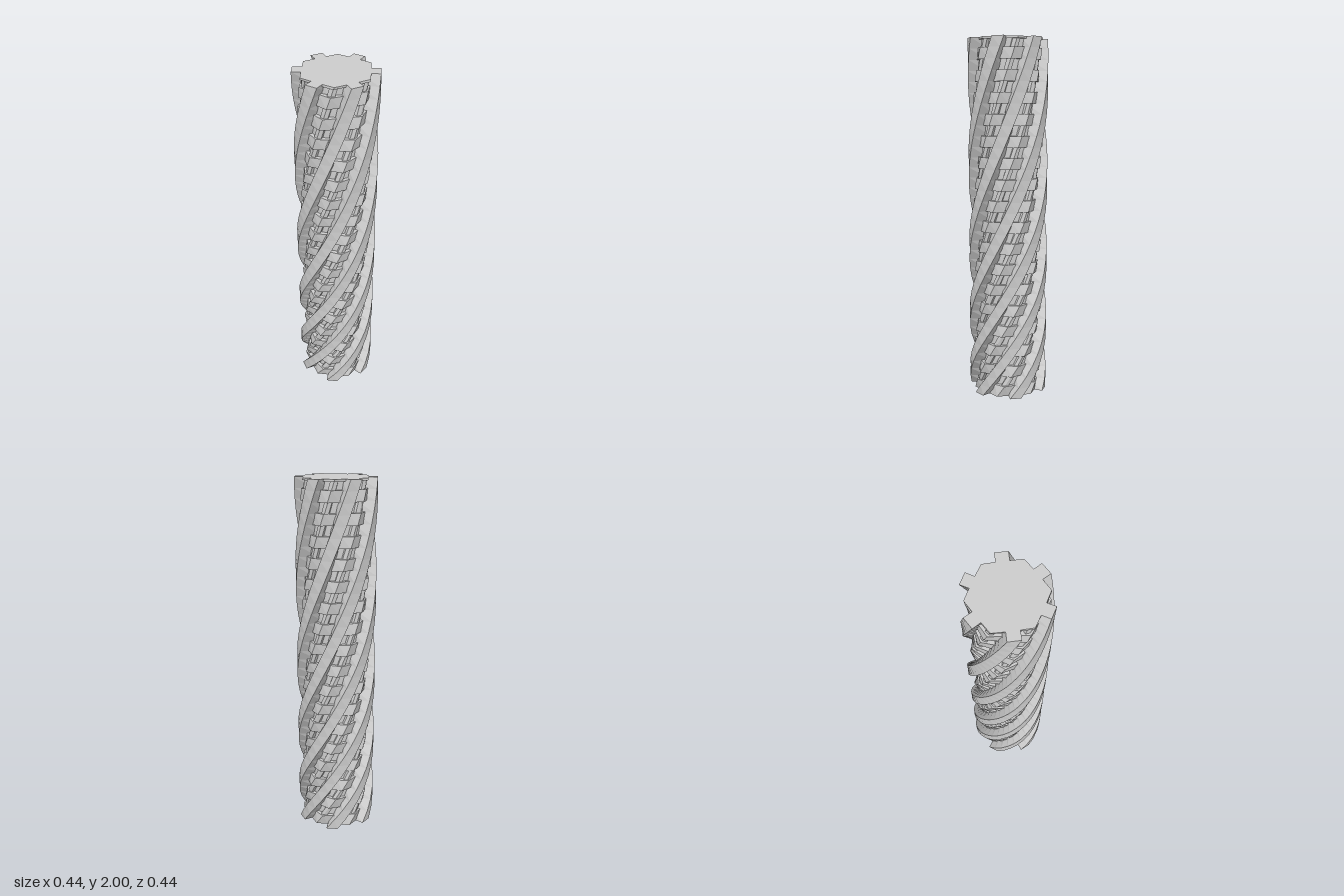
import * as THREE from 'three';

const DEG = Math.PI / 180;
const HEIGHT = 2, ROWS = 17, PITCH = HEIGHT / ROWS, TILE = 0.062;
const RIB_ANGLE = 9.5; // first rib at the top, measured from +x towards +z

// Twist in degrees at height y: gentle at the top, tighter towards the foot
function twist(y) {
  const d = HEIGHT - y;
  return d * (96.2 + d * (5.1 + d * 7.7));
}

// Extrude a polar outline [degrees, radius] upwards and twist it
function twistedPrism(outline, y0, y1, steps) {
  const pts = outline.map(([a, r]) =>
    new THREE.Vector2(r * Math.cos(a * DEG), -r * Math.sin(a * DEG)));
  const geo = new THREE.ExtrudeGeometry(new THREE.Shape(pts), { depth: y1 - y0, steps, bevelEnabled: false });
  geo.rotateX(-Math.PI / 2).translate(0, y0, 0);
  const p = geo.attributes.position;
  for (let i = 0; i < p.count; i++) {
    const t = twist(p.getY(i)) * DEG, x = p.getX(i), z = p.getZ(i);
    p.setX(i, x * Math.cos(t) - z * Math.sin(t));
    p.setZ(i, x * Math.sin(t) + z * Math.cos(t));
  }
  geo.computeVertexNormals();
  return geo;
}

// Repeat one sixth of an outline around the axis
function sixfold(part) {
  const out = [];
  for (let k = 0; k < 6; k++) for (const [a, r] of part) out.push([RIB_ANGLE + 60 * k + a, r]);
  return out;
}

export function createModel() {
  const group = new THREE.Group();
  const material = new THREE.MeshStandardMaterial({ color: 0xcccccc, flatShading: true });
  const add = (geo, name) => {
    const mesh = new THREE.Mesh(geo, material);
    mesh.name = name;
    group.add(mesh);
  };

  // Six spiral ribs with parallel sides
  for (let k = 0; k < 6; k++) {
    const c = RIB_ANGLE + 60 * k;
    add(twistedPrism([[c - 15, 0.12], [c - 8.6, 0.222], [c + 8.6, 0.222], [c + 15, 0.12]],
      0, HEIGHT, ROWS * 2), 'spiralRib');
  }

  // Core: ridged tile rows alternating with recessed rows that carry a narrow stud
  const tile = sixfold([[-10, 0.174], [10, 0.174], [30, 0.196]]);
  const recess = sixfold([[-10, 0.158], [10, 0.158], [23, 0.16], [23.5, 0.178], [30, 0.184], [36.5, 0.178], [37, 0.16]]);
  for (let i = 0; i < ROWS; i++) {
    const y = i * PITCH;
    add(twistedPrism(tile, y, y + TILE, 1), 'tileRow');
    add(twistedPrism(recess, y + TILE, y + PITCH, 1), 'recessedRow');
  }

  // Thin plate closing the top
  add(twistedPrism(tile, HEIGHT - 0.012, HEIGHT, 1), 'topPlate');
  return group;
}
